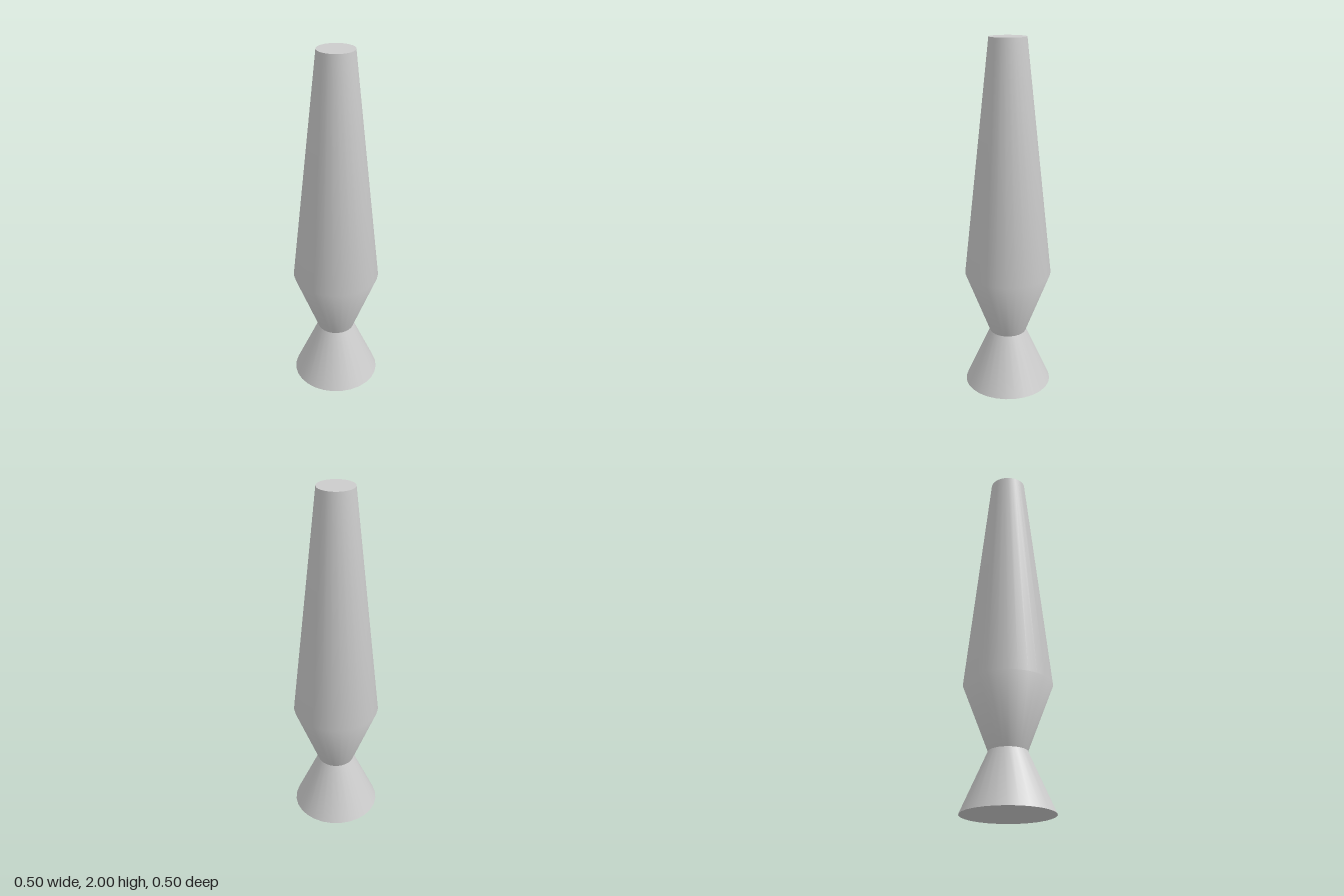
import * as THREE from 'three';

const SIDES = 28;

export function createModel() {
  const group = new THREE.Group();
  const grey = new THREE.MeshStandardMaterial({ color: 0xcccccc });
  grey.name = 'light grey';

  const add = (name, geometry, y = 0, tilt = 0) => {
    const mesh = new THREE.Mesh(geometry, grey);
    mesh.name = name;
    mesh.position.y = y;
    mesh.rotation.x = tilt;
    group.add(mesh);
  };
  // Open surface turned from [radius, height] pairs, listed bottom to top
  const turned = (profile) =>
    new THREE.LatheGeometry(profile.map(([r, y]) => new THREE.Vector2(r, y)), SIDES);

  // Flared foot, narrowing to the waist
  add('base', turned([[0.25, 0], [0.105, 0.325]]));
  add('baseUnderside', new THREE.CircleGeometry(0.25, SIDES), 0, Math.PI / 2);

  // Tapered vessel, smooth across its widest ring
  add('body', turned([[0.105, 0.325], [0.245, 0.69], [0.101, 2]]));
  add('bodyTop', new THREE.CircleGeometry(0.101, SIDES), 2, -Math.PI / 2);

  return group;
}
